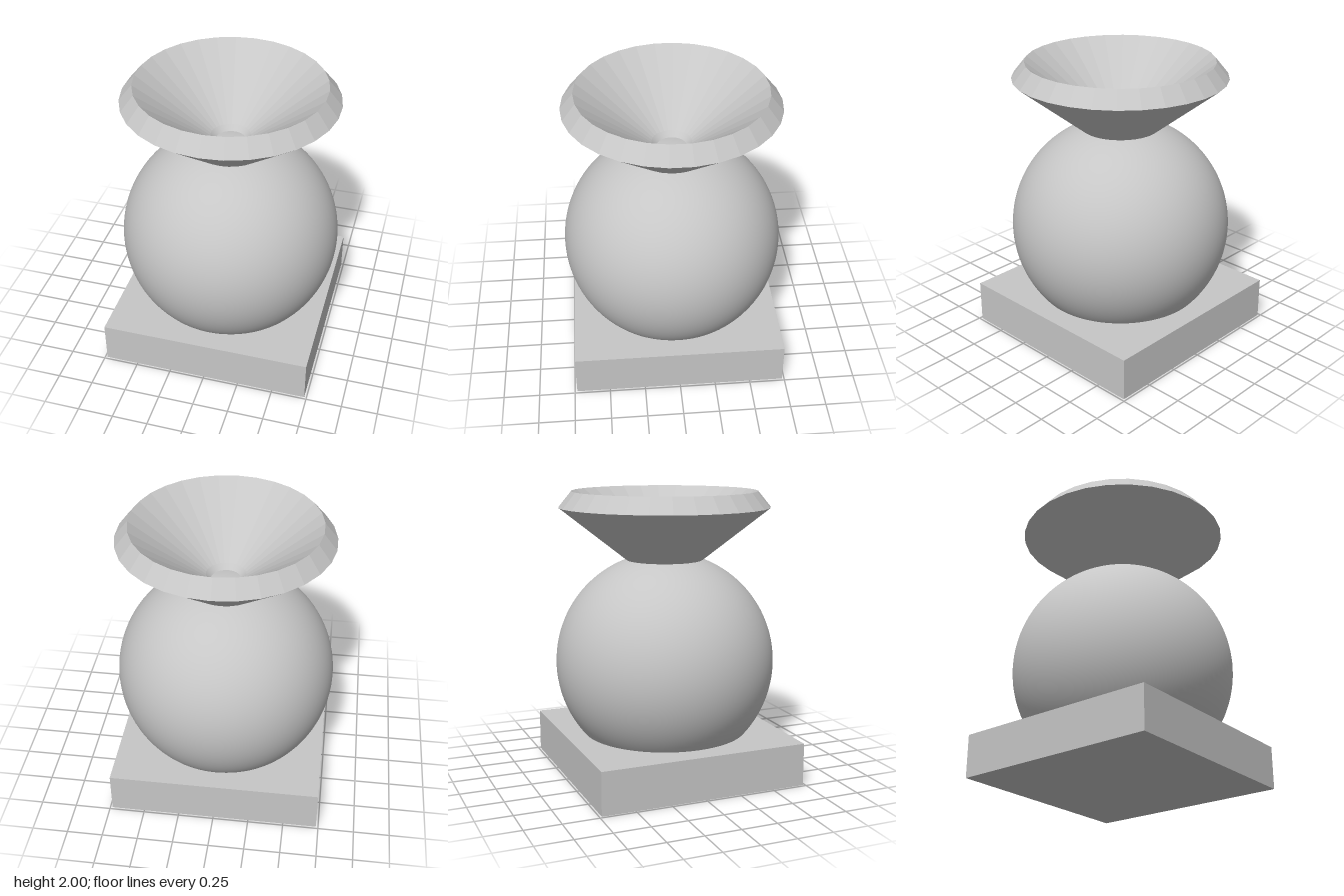
import * as THREE from 'three';

const stone = new THREE.MeshStandardMaterial({ color: 0xc6c6c6 });
stone.name = 'light grey';

function addPart(group, name, geometry, y = 0) {
  const mesh = new THREE.Mesh(geometry, stone);
  mesh.name = name;
  mesh.position.y = y;
  group.add(mesh);
}

// Surface of revolution from [radius, height] pairs
const lathe = (profile, sides) =>
  new THREE.LatheGeometry(profile.map(([r, y]) => new THREE.Vector2(r, y)), sides);

// Give every face its own normal
function faceted(geometry) {
  const flat = geometry.toNonIndexed();
  flat.computeVertexNormals();
  return flat;
}

export function createModel() {
  const group = new THREE.Group();
  group.name = 'vase';

  // Square plinth
  addPart(group, 'base', new THREE.BoxGeometry(1.468, 0.3, 1.468), 0.15);

  // Round body, its lower end sunk into the plinth
  addPart(group, 'body', new THREE.SphereGeometry(0.77, 96, 64), 0.8);

  // Faceted funnel: outer flare, turned-in rim, inner cone
  addPart(group, 'funnel', faceted(lathe(
    [[0.24, 1.5], [0.735, 1.89], [0.645, 2.0], [0.137, 1.6]], 30)));

  // Smooth throat at the bottom of the funnel
  addPart(group, 'throat', lathe([[0.14, 1.602], [0.1, 1.56]], 64));

  return group;
}
